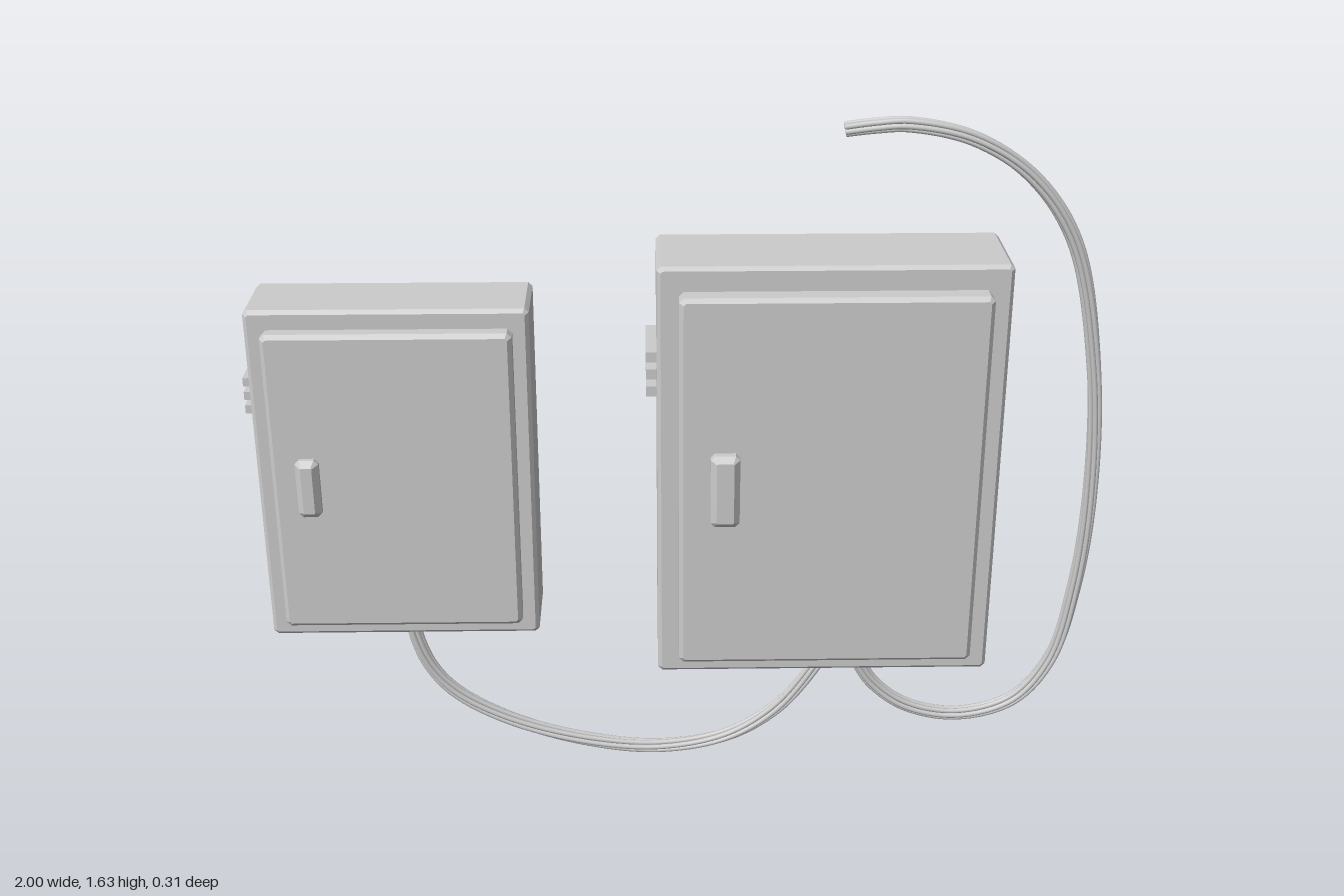
import * as THREE from 'three';

const material = new THREE.MeshStandardMaterial({ color: 0xcccccc });
const flatMaterial = new THREE.MeshStandardMaterial({ color: 0xcccccc, flatShading: true });

// Panel from z0 to z1 with chamfered corners and front edges, and a square flat back
function panel(name, x0, x1, y0, y1, z0, z1, bevel, corner = bevel) {
  const a = x0 + bevel, b = x1 - bevel, c = y0 + bevel, d = y1 - bevel, k = corner * 0.5;
  const shape = new THREE.Shape([
    [a + k, c], [b - k, c], [b, c + k], [b, d - k],
    [b - k, d], [a + k, d], [a, d - k], [a, c + k],
  ].map(([x, y]) => new THREE.Vector2(x, y)));
  const geometry = new THREE.ExtrudeGeometry(shape, {
    depth: z1 - z0 - bevel, bevelEnabled: true, bevelSize: bevel, bevelThickness: bevel, bevelSegments: 1,
  });
  // press the rear bevel flat
  const p = geometry.attributes.position;
  for (let i = 0; i < p.count; i++) p.setZ(i, Math.max(0, p.getZ(i)) + z0);
  geometry.computeVertexNormals();
  const mesh = new THREE.Mesh(geometry, flatMaterial);
  mesh.name = name;
  return mesh;
}

function cabinet(name, s) {
  const group = new THREE.Group();
  group.name = name;
  group.add(panel('housing', ...s.body, 0.009));
  group.add(panel('door', ...s.door, 0.01));
  group.add(panel('handle', ...s.handle, 0.014, 0.004));

  // three louvres on the side
  const [z0, z1] = s.ventZ;
  s.ventY.forEach((y) => {
    const louvre = new THREE.Mesh(new THREE.BoxGeometry(0.03, s.ventH, z1 - z0), flatMaterial);
    louvre.position.set(s.body[0] - s.ventOut + 0.015, y, (z0 + z1) / 2);
    louvre.name = 'ventLouvre';
    group.add(louvre);
  });
  return group;
}

// Bundle of thin wires slowly twisting around a common path
function cable(name, points, segments) {
  const group = new THREE.Group();
  group.name = name;
  const path = new THREE.CatmullRomCurve3(points.map(([x, y, z = 0.022]) => new THREE.Vector3(x, y, z)));
  const side = new THREE.Vector3(0, 0, 1);
  const wires = 6;
  for (let w = 0; w < wires; w++) {
    const line = [];
    for (let i = 0; i <= segments; i++) {
      const t = i / segments;
      const across = path.getTangentAt(t).cross(side).normalize();
      const angle = (w / wires) * Math.PI * 2 + t * 3;
      line.push(path.getPointAt(t)
        .addScaledVector(across, Math.cos(angle) * 0.0115)
        .addScaledVector(side, Math.sin(angle) * 0.0115));
    }
    const wire = new THREE.Mesh(
      new THREE.TubeGeometry(new THREE.CatmullRomCurve3(line), segments * 2, 0.0063, 8), material);
    wire.name = 'wire';
    group.add(wire);
    // close the wire ends
    [[line[0], line[1]], [line[segments], line[segments - 1]]].forEach(([end, inner]) => {
      const cap = new THREE.Mesh(new THREE.CircleGeometry(0.0063, 8), material);
      cap.position.copy(end);
      cap.lookAt(end.clone().multiplyScalar(2).sub(inner));
      cap.name = 'wireEnd';
      group.add(cap);
    });
  }
  return group;
}

export function createModel() {
  const model = new THREE.Group();
  model.name = 'electricalCabinets';

  model.add(cabinet('largeCabinet', {
    body: [-0.05, 0.752, 0.27, 1.312, -0.157, 0.076],
    door: [0, 0.704, 0.322, 1.255, 0.07, 0.127],
    handle: [0.072, 0.14, 0.7, 0.881, 0.12, 0.158],
    ventZ: [-0.132, 0.042], ventY: [1.0, 1.042, 1.084], ventH: 0.025, ventOut: 0.025,
  }));
  model.add(cabinet('smallCabinet', {
    body: [-0.982, -0.338, 0.372, 1.208, -0.127, 0.057],
    door: [-0.942, -0.376, 0.415, 1.163, 0.05, 0.096],
    handle: [-0.884, -0.83, 0.716, 0.861, 0.09, 0.121],
    ventZ: [-0.107, 0.032], ventY: [0.958, 0.992, 1.026], ventH: 0.02, ventOut: 0.018,
  }));

  // sagging link between the cabinets
  model.add(cable('linkCable', [
    [-0.648, 0.41], [-0.642, 0.35], [-0.61, 0.26], [-0.55, 0.185], [-0.42, 0.105], [-0.23, 0.042],
    [-0.045, 0.02], [0.125, 0.052], [0.25, 0.135], [0.345, 0.262], [0.365, 0.3],
  ], 60));

  // supply cable looping up around the large cabinet
  model.add(cable('supplyCable', [
    [0.43, 0.31], [0.445, 0.265], [0.485, 0.2], [0.57, 0.135], [0.7, 0.108], [0.835, 0.148], [0.92, 0.26],
    [0.965, 0.465], [0.981, 0.73], [0.96, 1.05], [0.89, 1.35], [0.785, 1.5], [0.65, 1.587],
    [0.505, 1.618, 0.015], [0.43, 1.611, 0], [0.37, 1.598, -0.022],
  ], 90));

  return model;
}
